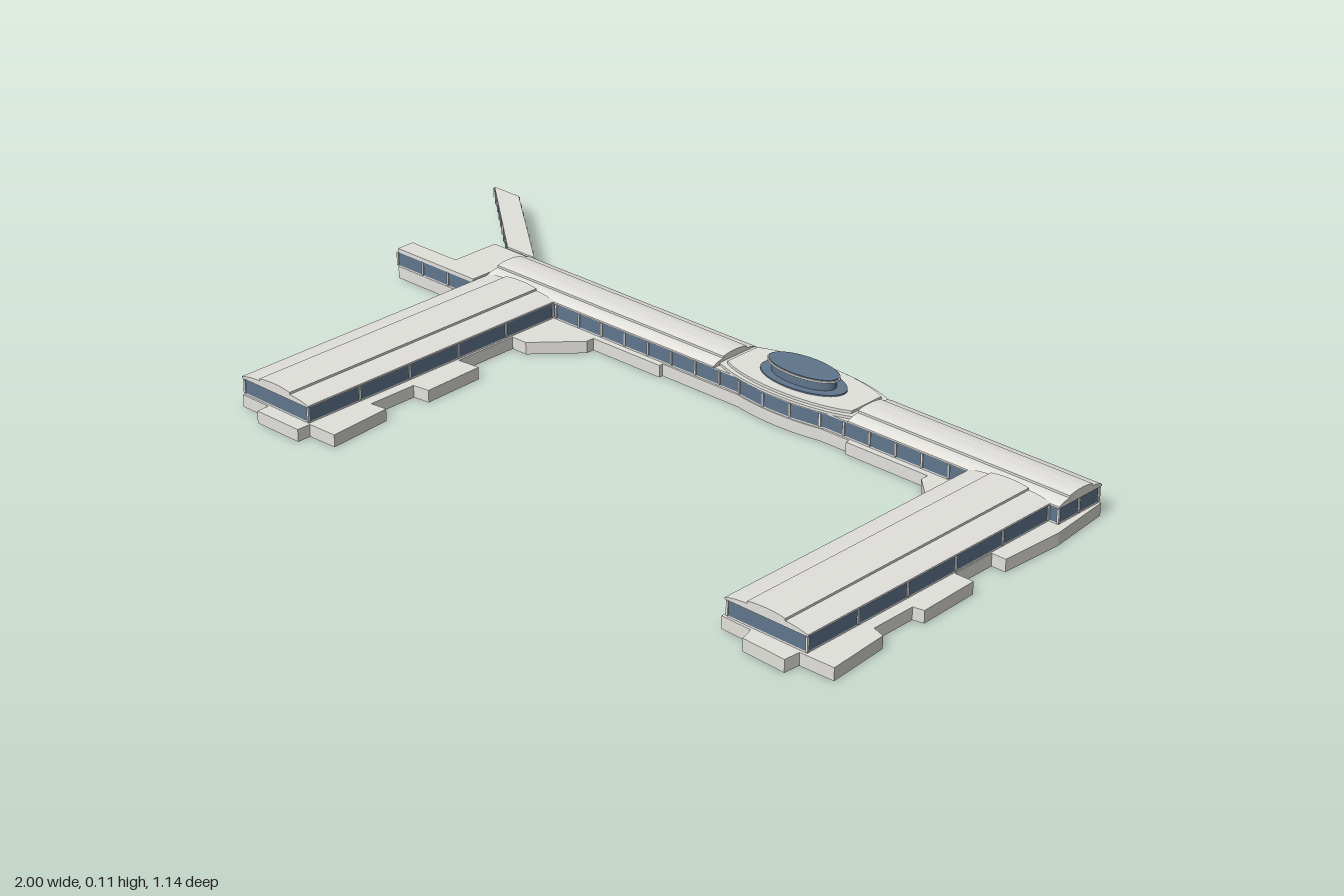
import * as THREE from 'three';
import { toCreasedNormals } from 'three/addons/utils/BufferGeometryUtils.js';

const concrete = new THREE.MeshStandardMaterial({ color: 0xe2e1dc, side: THREE.DoubleSide });
concrete.name = 'pale concrete';
const glass = new THREE.MeshStandardMaterial({ color: 0x5f758d });
glass.name = 'blue glass';
const frame = new THREE.MeshStandardMaterial({ color: 0xe8e8e5 });
frame.name = 'window frame';

const BASE = 0.028, SILL = 0.032, HEAD = 0.063, EAVE = 0.066;

export function createModel() {
  const model = new THREE.Group();

  function add(name, geometry, material, parent = model) {
    const mesh = new THREE.Mesh(geometry, material);
    mesh.name = name;
    parent.add(mesh);
    return mesh;
  }
  // Plan outlines are [x, z] pairs
  const planShape = pts => new THREE.Shape(pts.map(([x, z]) => new THREE.Vector2(x, -z)));
  function prism(pts, y0, y1) {
    const g = new THREE.ExtrudeGeometry(planShape(pts), { depth: y1 - y0, bevelEnabled: false });
    return toCreasedNormals(g.rotateX(-Math.PI / 2).translate(0, y0, 0), 0.5);
  }
  const rect = (x0, x1, z0, z1) => [[x0, z0], [x1, z0], [x1, z1], [x0, z1]];
  const inset = (x0, x1, z0, z1, d) => rect(x0 + d, x1 - d, z0 + d, z1 - d);

  // Glass between a pale sill and head, with thin upright mullions along the outline
  function glazedStorey(name, pts, y0, y1, spacing) {
    const group = new THREE.Group();
    group.name = name;
    model.add(group);
    add('glazing', prism(pts, y0, y1), glass, group);
    pts.forEach(([ax, az], i) => {
      const [bx, bz] = pts[(i + 1) % pts.length];
      const length = Math.hypot(bx - ax, bz - az);
      const n = Math.max(1, Math.round(length / spacing));
      for (let k = 0; k < n; k++) {
        const bar = add('mullion', new THREE.BoxGeometry(0.005, y1 - y0, 0.005), frame, group);
        bar.position.set(ax + (bx - ax) * k / n, (y0 + y1) / 2, az + (bz - az) * k / n);
        bar.rotation.y = -Math.atan2(bz - az, bx - ax);
      }
    });
  }
  function mainStorey(name, pts, spacing) {
    add(name + 'Sill', prism(pts, BASE + 0.0005, SILL), concrete);
    glazedStorey(name, pts, SILL, HEAD, spacing);
    add(name + 'Head', prism(pts, HEAD, EAVE), concrete);
  }

  // Ground floor: walls open below, with a flat deck on top
  const backSide = [[-0.63, -0.32], [-0.615, -0.32], [-0.615, -0.345], [-0.42, -0.35], [-0.42, -0.32],
    [0.75, -0.32], [0.75, -0.342], [0.78, -0.348], [0.935, -0.342], [0.935, -0.32], [0.955, -0.32]];
  const leftSide = [[0.972, -0.165], [0.965, -0.01], [0.93, -0.01], [0.93, 0.1], [0.975, 0.1], [0.98, 0.25],
    [0.955, 0.255], [0.955, 0.365], [0.985, 0.375], [0.997, 0.525], [0.915, 0.527], [0.912, 0.565],
    [0.805, 0.56], [0.795, 0.527], [0.72, 0.525], [0.73, -0.065], [0.635, -0.155], [0.635, -0.175]];
  const courtyard = [[0.42, -0.175], [0.42, -0.185], [-0.1, -0.185], [-0.1, -0.175], [-0.295, -0.175], [-0.295, -0.155]];
  const rightSide = [[-0.385, -0.06], [-0.425, -0.06], [-0.425, 0.1], [-0.37, 0.095], [-0.365, 0.245],
    [-0.405, 0.25], [-0.405, 0.37], [-0.365, 0.365], [-0.353, 0.52], [-0.425, 0.522], [-0.425, 0.555],
    [-0.55, 0.555], [-0.55, 0.525], [-0.63, 0.525], [-0.63, -0.07]];
  const annexSide = [[-0.7, -0.145], [-0.875, -0.145], [-0.875, -0.19], [-0.737, -0.19], [-0.737, -0.312], [-0.63, -0.312]];
  function walls(name, pts) {
    const pos = [], index = [];
    pts.forEach(([ax, az], i) => {
      const [bx, bz] = pts[(i + 1) % pts.length];
      pos.push(ax, 0, az, ax, BASE, az, bx, BASE, bz, bx, 0, bz);
      index.push(...[0, 1, 2, 0, 2, 3].map(k => i * 4 + k));
    });
    const g = new THREE.BufferGeometry();
    g.setAttribute('position', new THREE.Float32BufferAttribute(pos, 3));
    g.setIndex(index);
    g.computeVertexNormals();
    add(name, g, concrete);
  }
  function hollowBase(name, pts) {
    walls(name + 'Walls', pts);
    const deck = new THREE.ShapeGeometry(planShape(pts)).rotateX(-Math.PI / 2).translate(0, BASE, 0);
    add(name + 'Deck', deck, concrete);
  }
  hollowBase('groundFloor', [...backSide, ...leftSide, ...courtyard, ...rightSide, ...annexSide]);
  walls('hallInnerWalls', inset(-0.63, 0.955, -0.32, -0.185, 0.001));

  // Vaulted roofs: a low arc with a raised strip, mirrored and extruded
  function arc(x0, y0, x1, y1) { // rises from the outer edge to a level crown
    return Array.from({ length: 7 }, (_, i) => {
      const x = x0 + (x1 - x0) * i / 6;
      return [x, y1 - (y1 - y0) * ((x - x1) / (x0 - x1)) ** 2];
    });
  }
  function vault(name, w, strip, length) {
    const half = [[w, EAVE], ...arc(w, 0.07, strip, 0.078), ...arc(strip, 0.083, 0.003, 0.087)];
    const mirrored = half.map(([x, y]) => [-x, y]).reverse();
    const shape = new THREE.Shape([...half, ...mirrored].map(p => new THREE.Vector2(...p)));
    const g = new THREE.ExtrudeGeometry(shape, { depth: length, bevelEnabled: false });
    return add(name, toCreasedNormals(g, 0.5), concrete);
  }

  // Two long wings
  for (const [name, x0, x1] of [['rightWing', -0.63, -0.425], ['leftWing', 0.728, 0.932]]) {
    walls(name + 'InnerWalls', inset(x0, x1, -0.185, 0.525, 0.001));
    mainStorey(name + 'Storey', inset(x0, x1, -0.19, 0.525, 0.004), 0.143);
    const roof = vault(name + 'Roof', (x1 - x0) / 2, 0.047, 0.713);
    roof.position.set((x0 + x1) / 2, 0, -0.188);
  }

  // Main hall, its roof interrupted by the entrance
  mainStorey('mainHallStorey', inset(-0.63, 0.955, -0.32, -0.185, 0.004), 0.07);
  for (const [x0, x1] of [[-0.63, 0.045], [0.415, 0.955]]) {
    const roof = vault('mainHallRoof', 0.0675, 0.036, x1 - x0);
    roof.rotation.y = Math.PI / 2;
    roof.position.set(x0, 0, -0.2525);
  }

  // Bowed entrance hall
  const cx = 0.23, cz = -0.26;
  function bowed(scale, n = 16) {
    const pts = [];
    for (const side of [-1, 1]) {
      for (let i = 0; i <= n; i++) {
        const x = side * (2 * i / n - 1) * 0.19;
        pts.push([cx - side * side * -x * scale, cz + side * 0.088 * scale * Math.sqrt(1 - (x / 0.235) ** 2)]);
      }
    }
    return pts.map(([x, z]) => [2 * cx - x, z]).reverse();
  }
  hollowBase('entranceHall', bowed(0.98));
  mainStorey('entranceStorey', bowed(0.97, 5), 0.15);
  add('entranceRoofSlab', prism(bowed(1), EAVE, 0.072), concrete);
  add('entranceRoofCrown', prism(bowed(0.9), 0.072, 0.078), concrete);

  // Oval lantern with a glazed kerb, rim and glazed top
  function oval(name, rx, rz, y0, y1, material) {
    const mesh = add(name, new THREE.CylinderGeometry(1, 1, y1 - y0, 40), material);
    mesh.scale.set(rx, 1, rz);
    mesh.position.set(cx, (y0 + y1) / 2, cz);
  }
  oval('lanternKerb', 0.11, 0.056, 0.078, 0.081, glass);
  oval('lanternGlazing', 0.084, 0.039, 0.081, 0.102, glass);
  oval('lanternRim', 0.094, 0.043, 0.101, 0.105, concrete);
  oval('lanternTop', 0.091, 0.041, 0.105, 0.107, glass);

  // Low annex beside the hall
  const annex = [[-0.737, -0.312], [-0.634, -0.312], [-0.634, -0.145], [-0.875, -0.145], [-0.875, -0.19], [-0.737, -0.19]];
  mainStorey('annexStorey', annex, 0.08);
  add('annexRoof', prism(annex, EAVE, 0.072), concrete);

  // Slanting footbridge on a post
  const bridge = [[-1, -0.568], [-0.92, -0.568], [-0.645, -0.345], [-0.73, -0.345]];
  add('bridgeFloor', prism(bridge, 0.028, 0.031), concrete);
  glazedStorey('bridgeStorey', bridge, 0.031, 0.053, 0.045);
  add('bridgeRoof', prism(bridge, 0.053, 0.056), concrete);
  add('bridgePost', prism(rect(-0.84, -0.82, -0.462, -0.446), 0, 0.029), concrete);

  return model;
}
